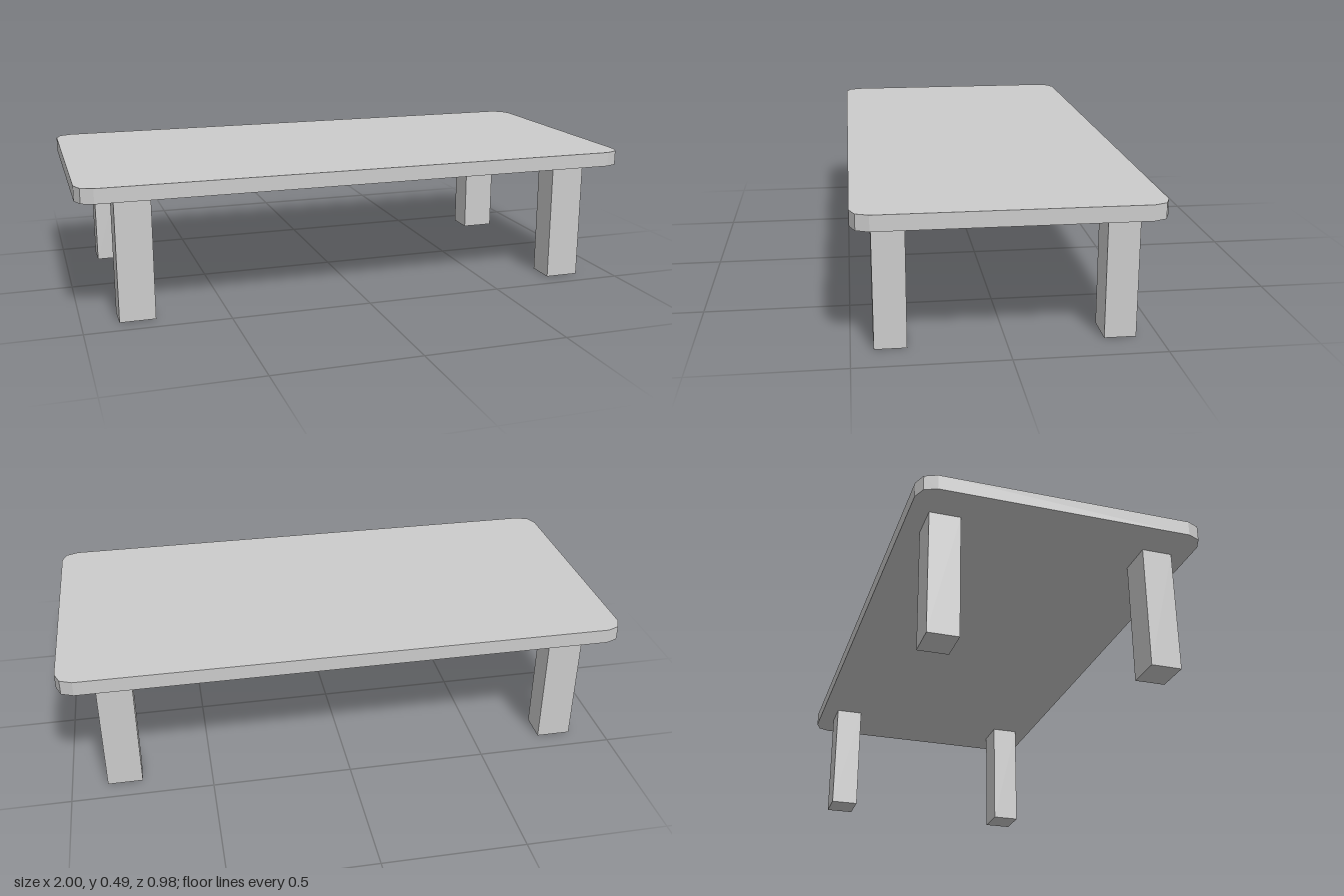
import * as THREE from 'three';

export function createModel() {
  const group = new THREE.Group();
  group.name = 'lowTable';
  const material = new THREE.MeshStandardMaterial({ color: 0xcccccc, flatShading: true });

  const halfX = 1, halfZ = 0.49, legHeight = 0.435, topThickness = 0.052;

  // Table top: slab with two-facet rounded corners
  const radius = 0.06, facets = 2;
  const outline = [];
  for (let corner = 0; corner < 4; corner++) {
    const cx = (corner === 0 || corner === 3 ? 1 : -1) * (halfX - radius);
    const cz = (corner < 2 ? 1 : -1) * (halfZ - radius);
    for (let i = 0; i <= facets; i++) {
      const a = (corner + i / facets) * Math.PI / 2;
      outline.push(new THREE.Vector2(cx + radius * Math.cos(a), cz + radius * Math.sin(a)));
    }
  }
  const topGeometry = new THREE.ExtrudeGeometry(new THREE.Shape(outline), {
    depth: topThickness,
    bevelEnabled: false,
  });
  topGeometry.rotateX(-Math.PI / 2);
  const top = new THREE.Mesh(topGeometry, material);
  top.name = 'tableTop';
  top.position.y = legHeight;
  group.add(top);

  // Four square-cut legs, set in from the corners
  const legGeometry = new THREE.BoxGeometry(0.124, legHeight, 0.106);
  for (const [sz, end] of [[1, 'front'], [-1, 'back']]) {
    for (const [sx, side] of [[1, 'Left'], [-1, 'Right']]) {
      const leg = new THREE.Mesh(legGeometry, material);
      leg.name = `${end}${side}Leg`;
      leg.position.set(sx * 0.812, legHeight / 2, sz * 0.373);
      group.add(leg);
    }
  }

  return group;
}
